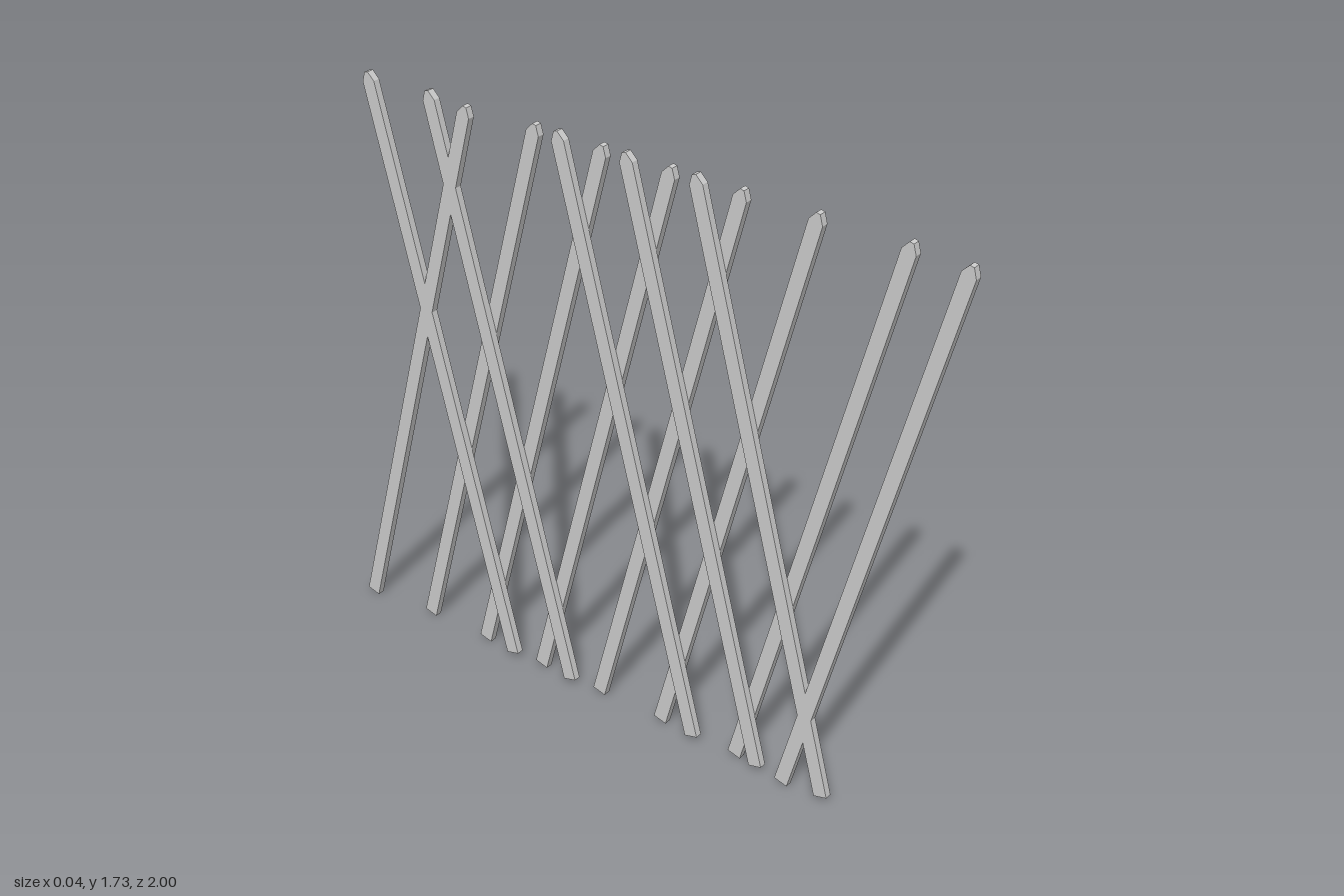
import * as THREE from 'three';

const WIDTH = 0.042;
const DEPTH = 0.021;
const LENGTH = 1.77;
const TILT = THREE.MathUtils.degToRad(14.8);

// Flat slat standing on its square end, with a blunt point at the top
function slatGeometry() {
  const h = WIDTH / 2;
  const shape = new THREE.Shape([
    new THREE.Vector2(-h, 0),
    new THREE.Vector2(h, 0),
    new THREE.Vector2(h, LENGTH - 0.026),
    new THREE.Vector2(0.006, LENGTH),
    new THREE.Vector2(-0.006, LENGTH),
    new THREE.Vector2(-h, LENGTH - 0.026),
  ]);
  const geometry = new THREE.ExtrudeGeometry(shape, { depth: DEPTH, bevelEnabled: false });
  geometry.rotateY(Math.PI / 2); // thickness runs along x
  return geometry;
}

export function createModel() {
  const model = new THREE.Group();
  model.name = 'latticeFence';
  const material = new THREE.MeshStandardMaterial({ color: 0xcccccc, flatShading: true });
  const geometry = slatGeometry();

  // One row of parallel slats: foot positions along z, layer in x, foot height and lean
  function addRow(name, feet, x, y, tilt) {
    const row = new THREE.Group();
    row.name = name;
    feet.forEach((z, i) => {
      const slat = new THREE.Mesh(geometry, material);
      slat.name = `${name}Slat${i + 1}`;
      slat.position.set(x, y, z);
      slat.rotation.x = tilt;
      row.add(slat);
    });
    model.add(row);
  }

  // Outer layer leaning to the front
  addRow('frontLeaning', [0.362, 0.105, -0.114, -0.329, -0.544, -0.762], 0, 0.006, TILT);
  // The two end slats lean the same way but sit in the inner layer
  addRow('endFrontLeaning', [0.533, -0.979], -DEPTH, 0.006, TILT);
  // Inner layer leaning to the back
  addRow('backLeaning', [0.662, 0.447, 0.229, -0.206, -0.421], -DEPTH, 0.018, -TILT);

  return model;
}
